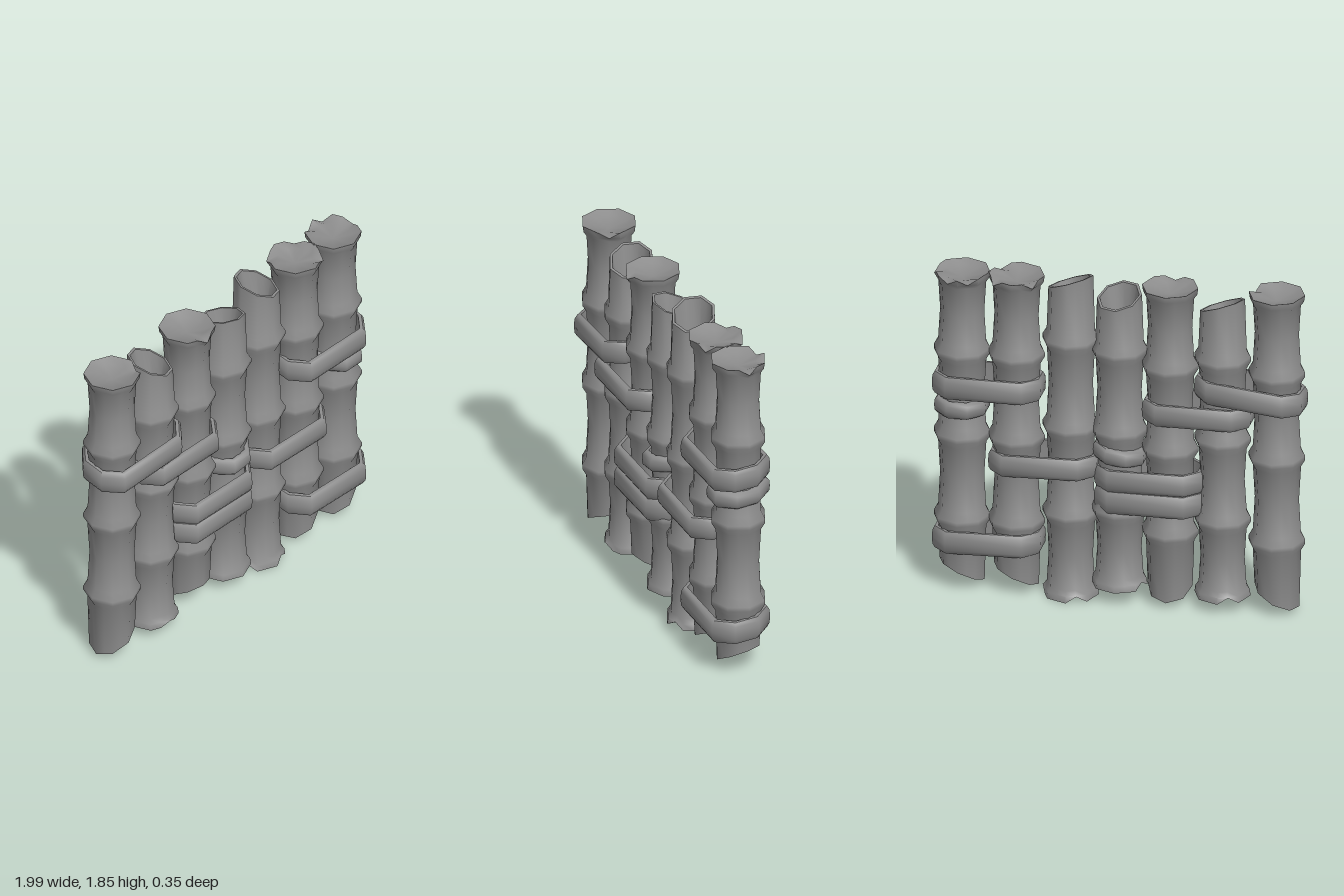
import * as THREE from 'three';
import { toCreasedNormals } from 'three/addons/utils/BufferGeometryUtils.js';

const material = new THREE.MeshStandardMaterial({ color: 0x8c8c8c });
const SIDES = 16; // two segments per face of an octagon
const POLE_Z = -0.015;

const lathe = (points, sides, start = 0) =>
  new THREE.LatheGeometry(points.map(([r, y]) => new THREE.Vector2(r, y)), sides, start);

// Cane with a flared, notched end at y = 0 and a slanted hollow end at y = length.
function poleGeometry(length, slopeX, slopeZ, notches) {
  const profile = [[0, 0.045], [0.1, 0.02], [0.15, 0], [0.145, 0.035], [0.128, 0.06]];
  const nodes = [0.263, 0.54, 0.818].map((t) => t * length);
  let previous = 0;
  for (const y of nodes) {
    profile.push([0.118, (previous + y) / 2], [0.128, y - 0.055], [0.151, y - 0.012], [0.151, y + 0.012], [0.129, y + 0.05]);
    previous = y;
  }
  const rim = profile.length;
  profile.push([0.12, length], [0.106, length], [0.07, length - 0.18], [0, length - 0.18]);

  const geometry = lathe(profile, SIDES);
  const p = geometry.attributes.position;
  for (let i = 0; i < p.count; i++) {
    const row = i % profile.length;
    const segment = Math.floor(i / profile.length) % SIDES;
    // Pull the odd segments in so the section is a true octagon
    const k = segment % 2 ? Math.cos(Math.PI / 8) : 1;
    const x = p.getX(i) * k, z = p.getZ(i) * k;
    let y = p.getY(i);
    if (row === rim || row === rim + 1) y += slopeX * x + slopeZ * z;
    if (row === 2 && notches.includes(segment)) y += 0.032;
    p.setXYZ(i, x, y, z);
  }
  return toCreasedNormals(geometry, 1.0);
}

// Flat strap looped round one or two canes; halfSpan stretches the ring sideways.
function bandGeometry(halfSpan, radius, height, slopeX) {
  const h = height / 2, inner = radius - 0.03;
  const profile = [[inner, -h], [radius - 0.012, -h], [radius, -h * 0.65], [radius + 0.003, 0],
    [radius, h * 0.65], [radius - 0.012, h], [inner, h], [inner, -h]];
  const geometry = lathe(profile, 8, Math.PI / 8);
  const p = geometry.attributes.position;
  for (let i = 0; i < p.count; i++) {
    const x = p.getX(i) + Math.sign(p.getX(i)) * halfSpan;
    const z = p.getZ(i) * 1.14;
    p.setXYZ(i, x, p.getY(i) + slopeX * x - 0.09 * z, z);
  }
  return toCreasedNormals(geometry, 1.0);
}

export function createModel() {
  const group = new THREE.Group();
  const add = (name, geometry, x, y, z) => {
    const mesh = new THREE.Mesh(geometry, material);
    mesh.name = name;
    mesh.position.set(x, y, z);
    group.add(mesh);
    return mesh;
  };

  // Canes: x, flared end y, mid height of the slanted end, its slope in x and z, notched segments
  const poles = [
    [-0.84, 1.83, 0.09, 0.5, 0.1, [5]],
    [-0.55, 0.07, 1.74, -0.35, -0.25, [0, 9]],
    [-0.27, 1.82, 0.1, 0, 0.5, [8]],
    [0, 0.085, 1.74, -0.15, 0.3, [11]],
    [0.26, 0.005, 1.805, -0.35, -0.25, [1, 4, 9, 13]],
    [0.55, 1.82, 0.09, 0.45, -0.15, [2, 6, 14]],
    [0.84, 1.82, 0.09, 0.45, -0.2, [1, 4, 15]],
  ];
  poles.forEach(([x, flare, cut, sx, sz, notches], i) => {
    const up = cut > flare;
    const geometry = poleGeometry(Math.abs(cut - flare), up ? sx : -sx, sz, notches);
    const pole = add(`pole${i + 1}`, geometry, x, flare, POLE_Z);
    if (!up) pole.rotation.x = Math.PI;
  });

  // Straps binding neighbouring canes: centre x, centre y, height, slope, turn
  const bands = [
    [-0.7, 1.245, 0.125, 0.09, -0.05],
    [-0.42, 1.115, 0.12, 0, 0],
    [-0.165, 0.715, 0.12, -0.01, 0],
    [-0.165, 0.59, 0.125, 0, 0],
    [0.4, 0.755, 0.12, -0.02, 0],
    [0.7, 1.175, 0.125, 0, 0],
    [0.7, 0.285, 0.125, -0.02, 0],
  ];
  bands.forEach(([x, y, height, slope, turn], i) => {
    const band = add(`pairBand${i + 1}`, bandGeometry(0.145, 0.155, height, slope), x, y, -0.003);
    band.rotation.y = turn;
  });

  // Short straps round a single cane
  add('singleBand1', bandGeometry(0, 0.144, 0.09, 0.12), -0.005, 0.85, POLE_Z);
  add('singleBand2', bandGeometry(0, 0.146, 0.09, 0), 0.84, 1.05, POLE_Z);

  return group;
}
